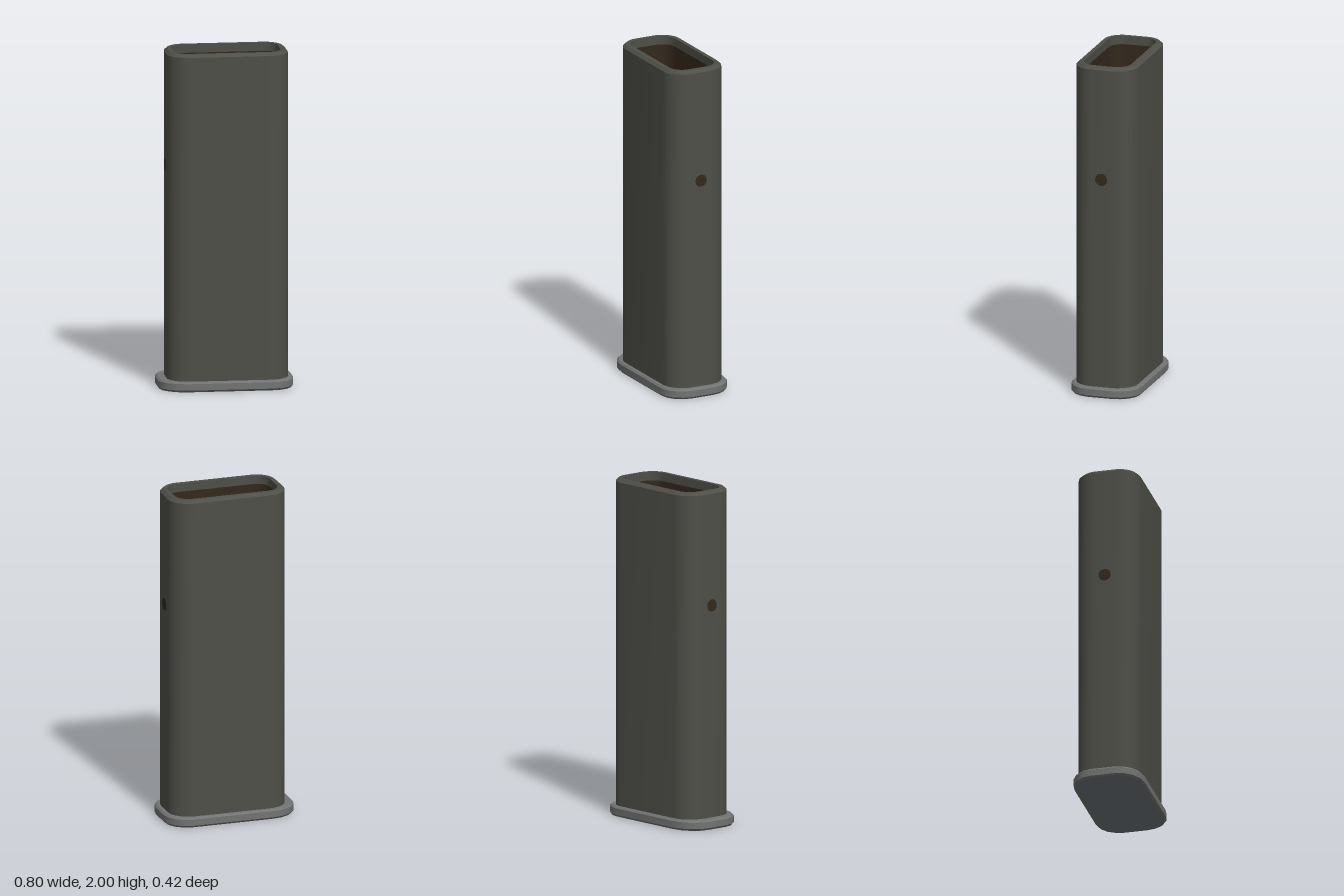
import * as THREE from 'three';
import { toCreasedNormals } from 'three/addons/utils/BufferGeometryUtils.js';

const mat = (name, color) => new THREE.MeshStandardMaterial({ name, color });

// Rounded-rectangle ring at height y; the outline is pulled inwards by inset.
function ring(o, y, inset = 0) {
  const points = [];
  const corners = [[1, 1], [-1, 1], [-1, -1], [1, -1]];
  corners.forEach(([sx, sz], q) => {
    const rx = (sx > 0 ? o.rRight : o.rLeft), rz = o.rz;
    const cx = (sx > 0 ? o.right - rx : o.left + rx);
    const cz = sz * (o.halfDepth - rz);
    for (let i = 0; i <= o.segments; i++) {
      const a = (q + i / o.segments) * Math.PI / 2;
      points.push(new THREE.Vector3(
        cx + Math.cos(a) * (rx - inset), y, cz + Math.sin(a) * (rz - inset)));
    }
  });
  return points;
}

// Ring collapsed to one point, closing an end.
const centre = (o, y) => ring(o, y).map(() => new THREE.Vector3((o.left + o.right) / 2, y, 0));

// Skin through a sequence of rings, with sharp edges kept.
function loft(name, rings, material) {
  const pos = [];
  for (let k = 0; k < rings.length - 1; k++) {
    const lo = rings[k], hi = rings[k + 1], n = lo.length;
    for (let i = 0; i < n; i++) {
      const j = (i + 1) % n;
      for (const [a, b, c] of [[lo[i], hi[i], lo[j]], [lo[j], hi[i], hi[j]]]) {
        if (a.equals(b) || b.equals(c) || a.equals(c)) continue;
        pos.push(...a.toArray(), ...b.toArray(), ...c.toArray());
      }
    }
  }
  const geo = new THREE.BufferGeometry();
  geo.setAttribute('position', new THREE.Float32BufferAttribute(pos, 3));
  const mesh = new THREE.Mesh(toCreasedNormals(geo, 0.5), material);
  mesh.name = name;
  return mesh;
}

export function createModel() {
  const group = new THREE.Group();
  group.name = 'hollowCase';
  const olive = mat('olive grey', 0x4f4f49);
  const grey = mat('plate grey', 0x727473);
  const brown = mat('dark brown', 0x33281c);
  const slate = mat('cool grey', 0x70777a);

  const tube = { left: -0.345, right: 0.367, halfDepth: 0.185, rLeft: 0.125, rRight: 0.125, rz: 0.125, segments: 8 };
  const plate = { left: -0.398, right: 0.398, halfDepth: 0.212, rLeft: 0.17, rRight: 0.14, rz: 0.142, segments: 4 };

  // Tube wall: outside, chamfered rim and the short lip inside
  group.add(loft('tubeBody', [
    ring(tube, 0.04), ring(tube, 1.984), ring(tube, 2, 0.018),
    ring(tube, 2, 0.043), ring(tube, 1.95, 0.043),
  ], olive));

  // Dark lining and floor of the cavity
  group.add(loft('cavityLining', [
    ring(tube, 1.95, 0.043), ring(tube, 0.07, 0.043), centre(tube, 0.07),
  ], brown));

  // Base plate with softened edges
  group.add(loft('basePlate', [
    centre(plate, 0.002), ring(plate, 0.002, 0.045), ring(plate, 0, 0.04), ring(plate, 0, 0.01),
    ring(plate, 0.012), ring(plate, 0.05), ring(plate, 0.06, 0.01), centre(plate, 0.06),
  ], grey));

  // Inset panel underneath
  group.add(loft('bottomPanel', [
    centre(plate, 0.0005), ring(plate, 0.0005, 0.04), ring(plate, 0.004, 0.04),
  ], slate));

  // Round hole on each narrow side
  for (const side of [1, -1]) {
    const hole = new THREE.Mesh(new THREE.CircleGeometry(0.037, 20), brown);
    hole.name = side > 0 ? 'leftHole' : 'rightHole';
    hole.position.set(side > 0 ? tube.right + 0.002 : tube.left - 0.002, 1.32, 0);
    hole.rotation.y = side * Math.PI / 2;
    group.add(hole);
  }
  return group;
}
